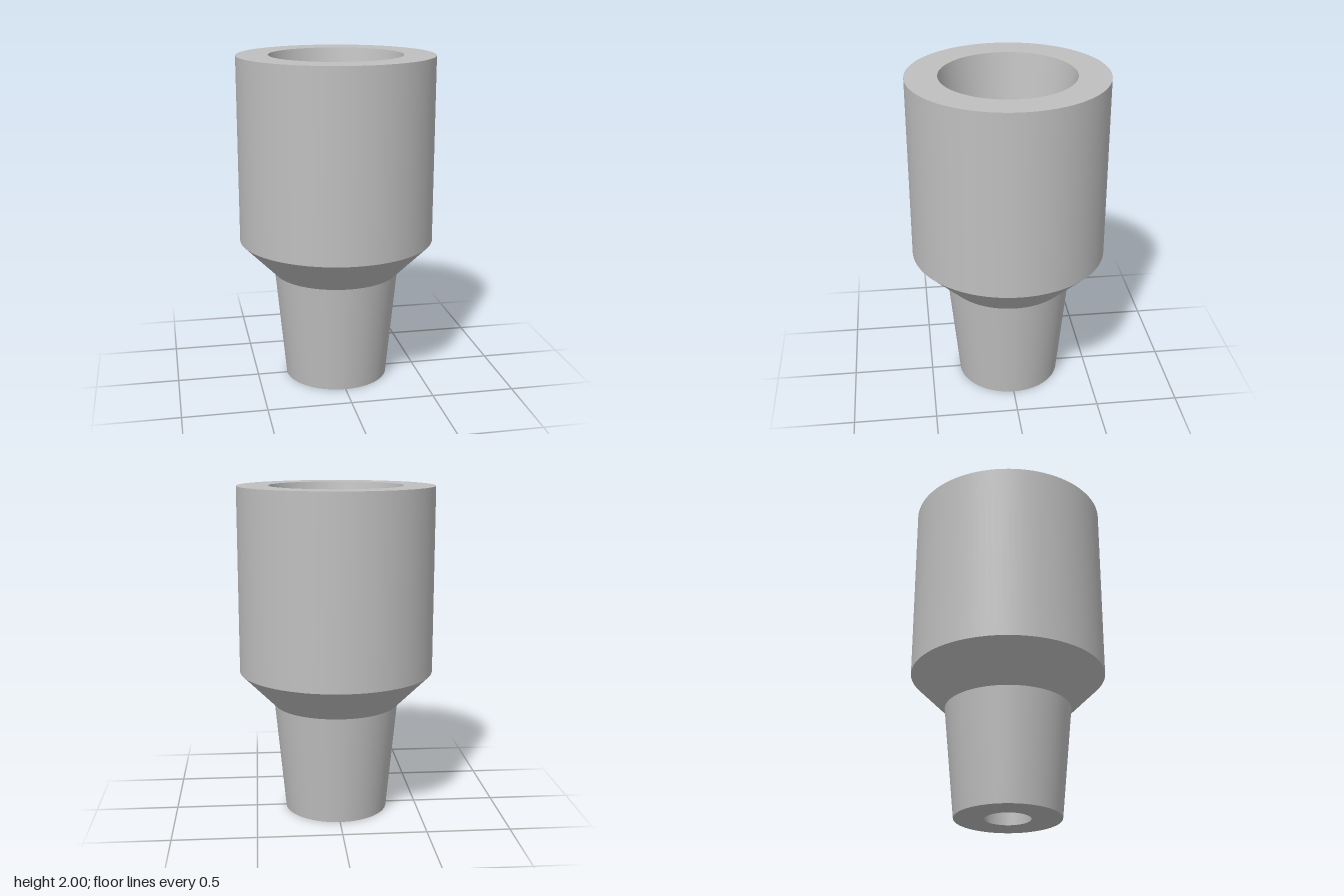
import * as THREE from 'three';

export function createModel() {
  const group = new THREE.Group();
  group.name = 'taperedNozzle';
  const grey = new THREE.MeshStandardMaterial({ color: 0xbfbfbf });
  grey.name = 'plain grey';

  // Closed profile [radius, height], each entry naming the band that ends there;
  // separate bands keep the edges between them crisp
  const profile = [
    ['boreBottom', 0.135, 0],
    ['bottomFace', 0.315, 0],
    ['neck', 0.38, 0.67],
    ['shoulder', 0.59, 0.88],
    ['body', 0.59, 2],
    ['topRim', 0.4, 2],
    ['socketWall', 0.213, 0.72],
    ['socketCone', 0.135, 0.6],
    ['bore', 0.135, 0],
  ];

  for (let i = 1; i < profile.length; i++) {
    const [, r0, y0] = profile[i - 1];
    const [name, r1, y1] = profile[i];
    const band = new THREE.LatheGeometry(
      [new THREE.Vector2(r0, y0), new THREE.Vector2(r1, y1)], 96);
    const mesh = new THREE.Mesh(band, grey);
    mesh.name = name;
    group.add(mesh);
  }
  return group;
}
